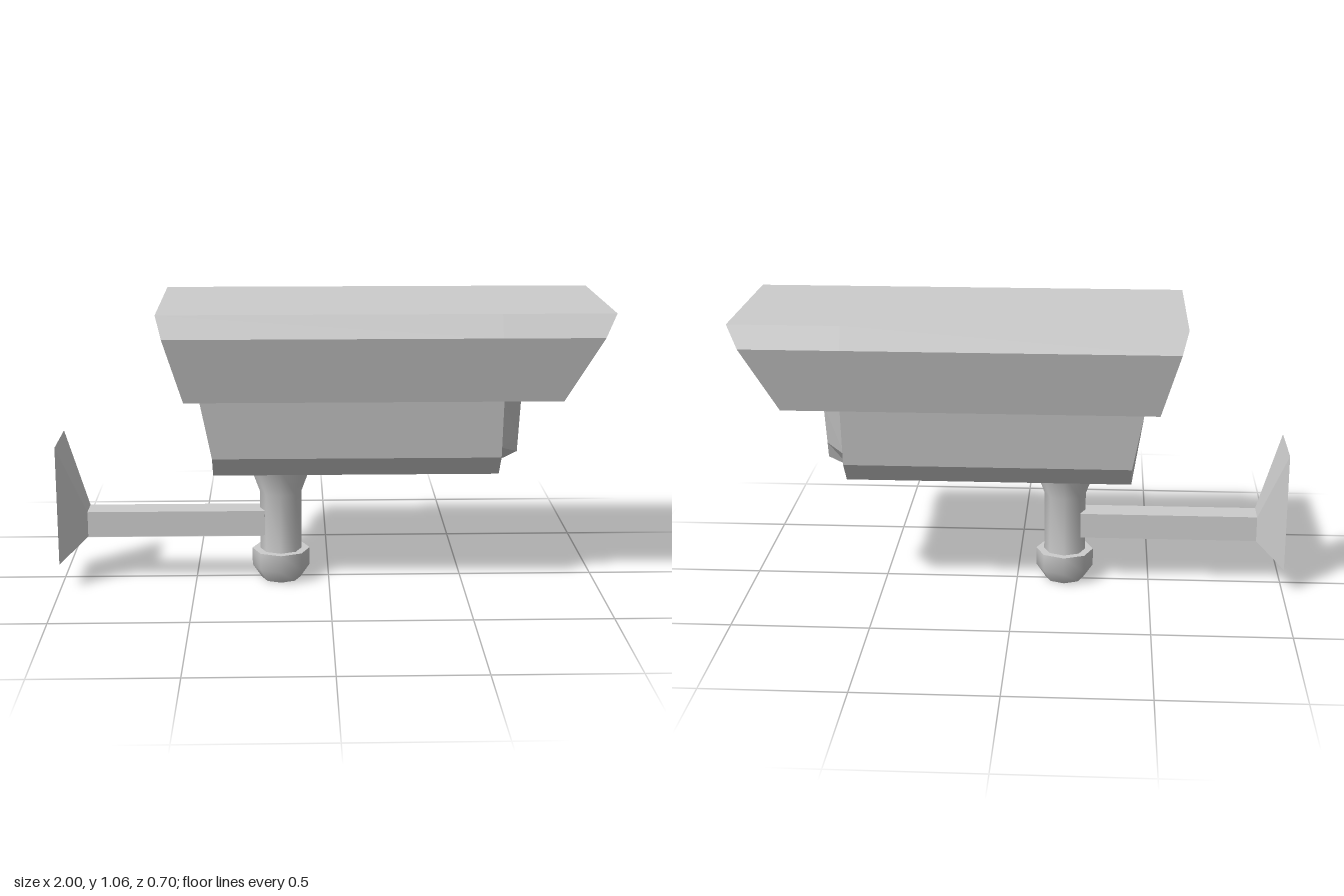
import * as THREE from 'three';
import { toCreasedNormals } from 'three/addons/utils/BufferGeometryUtils.js';

// Cross-sections are [u, v] with u across and v up; lofts run along +x.
const mirror = (half) => [...half, ...half.map(([u, v]) => [-u, v]).reverse()];
const ring = (section, x) =>
  section.map(([u, v]) => [u, v, typeof x === 'function' ? x(v) : x]);

// Skin counter-clockwise rings, optionally closing the first and last one.
function loft(rings, capStart = true, capEnd = true) {
  const pos = [];
  const n = rings[0].length;
  for (let k = 0; k < rings.length - 1; k++) {
    const a = rings[k], b = rings[k + 1];
    for (let i = 0; i < n; i++) {
      const j = (i + 1) % n;
      pos.push(...a[i], ...a[j], ...b[j], ...a[i], ...b[j], ...b[i]);
    }
  }
  const cap = (r, flip) => {
    const contour = r.map(([u, v]) => new THREE.Vector2(u, v));
    for (const [a, b, c] of THREE.ShapeUtils.triangulateShape(contour, [])) {
      pos.push(...r[a], ...(flip ? r[c] : r[b]), ...(flip ? r[b] : r[c]));
    }
  };
  if (capStart) cap(rings[0], true);
  if (capEnd) cap(rings[rings.length - 1], false);
  const geo = new THREE.BufferGeometry();
  geo.setAttribute('position', new THREE.Float32BufferAttribute(pos, 3));
  geo.rotateY(Math.PI / 2);
  geo.computeVertexNormals();
  return geo;
}

export function createModel() {
  const model = new THREE.Group();
  const flat = new THREE.MeshStandardMaterial({ color: 0xcccccc, flatShading: true });
  const smooth = new THREE.MeshStandardMaterial({ color: 0xcccccc });
  const thin = new THREE.MeshStandardMaterial({
    color: 0xcccccc, flatShading: true, side: THREE.DoubleSide });
  const add = (name, geo, mat = flat) => {
    const mesh = new THREE.Mesh(geo, mat);
    mesh.name = name;
    model.add(mesh);
    return mesh;
  };

  // Housing with chamfered lower edges and a slanted back
  const bodySection = mirror([[0.16, 0.44], [0.23, 0.52], [0.267, 0.74], [0.27, 0.978]]);
  const bodyBack = (v) => -0.425 - Math.max(0, v - 0.52) * 0.18;
  add('housing', loft([ring(bodySection, bodyBack), ring(bodySection, 0.62)]));

  // Tapered nose ending in a flat faceplate
  const noseBase = mirror([[0.11, 0.477], [0.2, 0.55], [0.25, 0.74], [0.245, 0.965]]);
  const plate = mirror([[0.12, 0.515], [0.14, 0.575], [0.195, 0.74], [0.18, 0.93]]);
  add('nose', loft([ring(noseBase, 0.62), ring(plate, 0.69)], false, false));

  // Faceplate with the octagonal lens opening
  const octagon = (ru, rv, cv) => Array.from({ length: 8 }, (_, i) => {
    const a = (i * Math.PI) / 4;
    return [ru * Math.cos(a), cv + rv * Math.sin(a)];
  });
  const toPoints = (s) => s.map(([u, v]) => new THREE.Vector2(u, v));
  const rim = octagon(0.157, 0.178, 0.738);
  const face = new THREE.Shape(toPoints(plate));
  face.holes.push(new THREE.Path(toPoints(rim)));
  add('faceplate', new THREE.ShapeGeometry(face).rotateY(Math.PI / 2).translate(0.69, 0, 0));

  // Recess around the lens, and the domed lens itself
  const recess = octagon(0.124, 0.138, 0.738);
  add('lensRecess', loft([ring(rim, 0.69), ring(recess, 0.65)], false, true));
  const dome = new THREE.SphereGeometry(1, 8, 8, 0, Math.PI * 2, 0, Math.PI / 2);
  dome.rotateZ(-Math.PI / 2).scale(0.055, 0.138, 0.124).translate(0.65, 0.738, 0);
  add('lens', dome, smooth);

  // Sun hood: solid over the housing, open visor ahead of it
  const hoodHalf = [[0.285, 0.74], [0.352, 0.98], [0.315, 1.06]];
  const hoodBack = (v) => -0.61 + (1.06 - v) * 0.28;
  const hoodFront = (v) => 1 - (1.06 - v) * 0.53;
  const hoodSection = mirror(hoodHalf);
  add('hood', loft([ring(hoodSection, hoodBack), ring(hoodSection, 0.6)]));
  const visor = (innerTop) => {
    const inner = [innerTop, [0.262, 0.74]];
    return [...hoodSection, ...inner.map(([u, v]) => [-u, v]).reverse(), ...inner];
  };
  add('visor', loft([
    ring(visor([0.272, 0.98]), 0.6),
    ring(visor([0.302, 1.005]), hoodFront),
  ], false, true));

  // Mounting post: rounded foot, shaft and flared head
  const profile = [[0, 0], [0.073, 0], [0.108, 0.05], [0.108, 0.116], [0.078, 0.116],
    [0.078, 0.34], [0.117, 0.445], [0, 0.445]].map(([r, y]) => new THREE.Vector2(r, y));
  const post = add('post', toCreasedNormals(new THREE.LatheGeometry(profile, 8), 0.95), smooth);
  post.position.set(-0.18, 0, 0.016);

  // Wall arm and its open, funnel-shaped wall bracket
  const rect = (u0, u1, v0, v1) => [[u0, v0], [u1, v0], [u1, v1], [u0, v1]];
  const armSection = rect(-0.065, 0.035, 0.18, 0.275);
  add('arm', loft([ring(armSection, -0.9), ring(armSection, -0.24)]));
  const wallSection = rect(-0.148, 0.116, 0.098, 0.545);
  add('wallBracket', loft([ring(wallSection, -1), ring(armSection, -0.9)], false, false), thin);

  return model;
}
